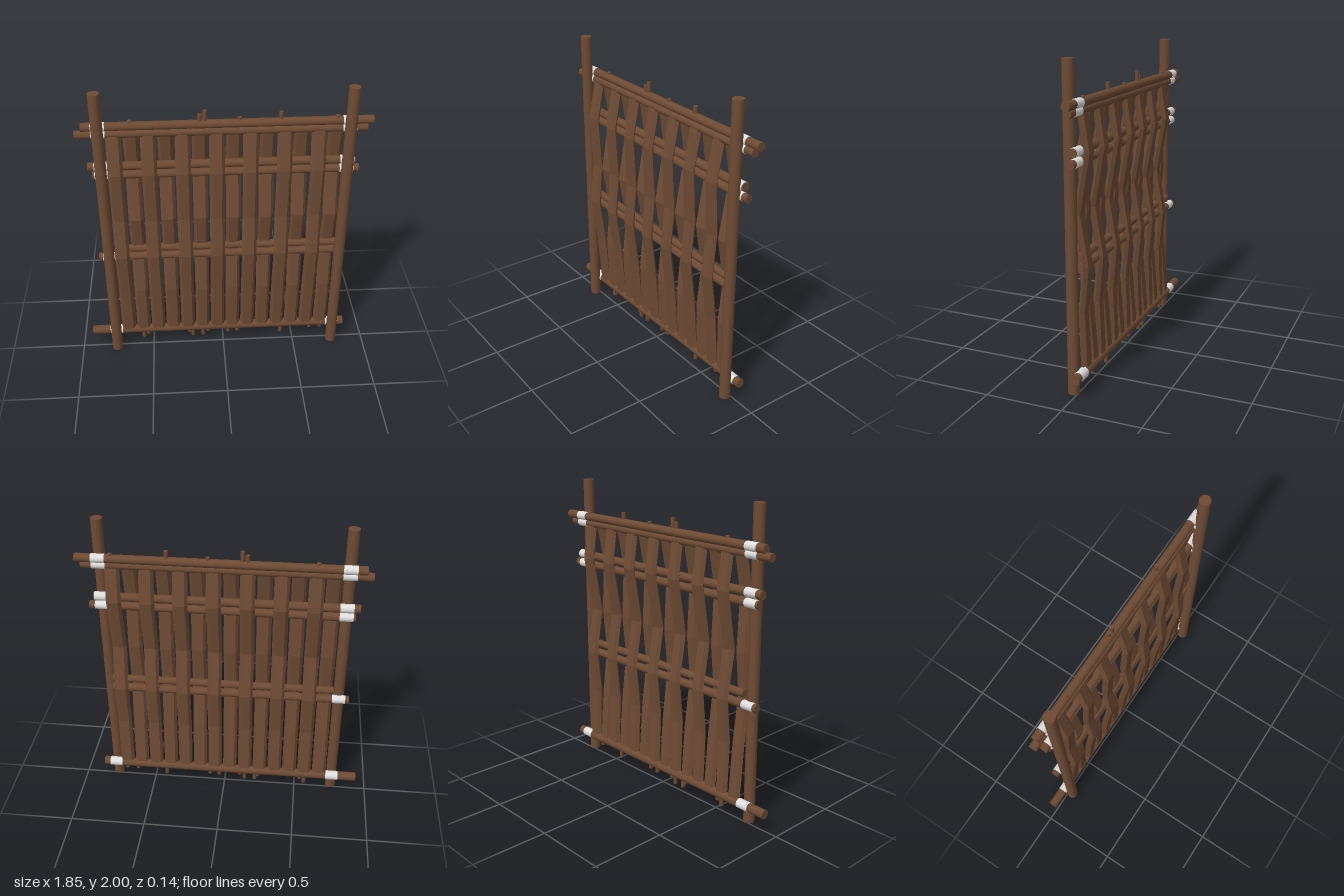
import * as THREE from 'three';

export function createModel() {
  const group = new THREE.Group();
  const wood = new THREE.MeshStandardMaterial({ color: 0x6e4b34 });
  wood.name = 'brown wood';
  const stakeWood = wood;
  const rope = new THREE.MeshStandardMaterial({ color: 0xe0e0e0 });
  rope.name = 'pale rope';

  function add(name, geometry, material, x = 0, y = 0, z = 0) {
    const mesh = new THREE.Mesh(geometry, material);
    mesh.name = name;
    mesh.position.set(x, y, z);
    group.add(mesh);
    return mesh;
  }

  // Horizontal pole from x0 to x1
  function bar(name, x0, x1, y, z, r, material) {
    const geometry = new THREE.CylinderGeometry(r, r, x1 - x0, 10);
    geometry.rotateZ(Math.PI / 2);
    add(name, geometry, material, (x0 + x1) / 2, y, z);
  }

  // Upright posts
  const postX = [-0.758, 0.775];
  for (const x of postX) add('post', new THREE.CylinderGeometry(0.036, 0.036, 2, 14), wood, x, 1, 0.028);

  // Rails: x start, x end, y, z, radius, posts they are tied to
  const rails = [
    [-0.86, 0.92, 1.755, -0.022, 0.028, postX],
    [-0.9, 0.885, 1.71, -0.014, 0.027, postX],
    [-0.84, 0.825, 1.485, -0.012, 0.028, postX],
    [-0.815, 0.855, 1.422, -0.012, 0.027, postX],
    [-0.72, 0.75, 0.855, -0.005, 0.026, []],
    [-0.825, 0.75, 0.788, -0.01, 0.028, [postX[0]]],
    [-0.925, 0.86, 0.128, -0.022, 0.031, postX],
  ];
  for (const [x0, x1, y, z, r, ties] of rails) {
    bar('rail', x0, x1, y, z, r, wood);
    for (const x of ties) bar('lashing', x - 0.043, x + 0.043, y, z, r + 0.0015, rope);
  }

  // Flattened six-sided stake swept along [y, z] points
  function stakeGeometry(path) {
    const ring = [[0.048, 0], [0.03, 0.021], [-0.03, 0.021], [-0.048, 0], [-0.03, -0.021], [0.03, -0.021]];
    const n = ring.length;
    const positions = [], index = [];
    for (const [y, z] of path) for (const [px, pz] of ring) positions.push(px, y, z + pz);
    for (let i = 0; i < path.length - 1; i++) {
      for (let j = 0; j < n; j++) {
        const a = i * n + j, b = i * n + (j + 1) % n;
        index.push(a, a + n, b, b, a + n, b + n);
      }
    }
    const top = (path.length - 1) * n;
    for (let j = 1; j < n - 1; j++) {
      index.push(0, j, j + 1);
      index.push(top, top + j + 1, top + j);
    }
    const indexed = new THREE.BufferGeometry();
    indexed.setAttribute('position', new THREE.Float32BufferAttribute(positions, 3));
    indexed.setIndex(index);
    const geometry = indexed.toNonIndexed();
    geometry.computeVertexNormals();
    return geometry;
  }

  // Woven stakes, passing alternately in front of and behind the rails
  const frontStake = stakeGeometry([[0.11, -0.02], [0.5, 0.01], [0.82, 0.05], [1.1, 0.022], [1.45, 0.04], [1.71, -0.012]]);
  const backStake = stakeGeometry([[0.11, -0.02], [0.5, -0.006], [0.79, -0.034], [1.1, 0.016], [1.47, -0.049], [1.71, -0.014]]);
  for (let i = 0; i < 14; i++) {
    add('stake', i % 2 ? backStake : frontStake, stakeWood, -0.668 + i * 0.1047);
  }

  // Thin stick ends above the top rails and below the bottom rail
  function stick(x, y0, y1) {
    add('stickEnd', new THREE.CylinderGeometry(0.014, 0.014, y1 - y0, 8), wood, x, (y0 + y1) / 2, -0.022);
  }
  for (const [x, y] of [[-0.565, 1.792], [-0.142, 1.82], [-0.112, 1.845], [0.1, 1.795], [0.353, 1.825], [0.7, 1.79]]) {
    stick(x, 1.7, y);
  }
  for (const [x, y] of [[-0.567, 0.05], [-0.535, 0.08], [-0.238, 0.08], [-0.216, 0.05], [-0.144, 0.05], [-0.11, 0.085],
    [0.035, 0.07], [0.1, 0.075], [0.413, 0.05], [0.622, 0.08], [0.7, 0.08]]) {
    stick(x, y, 0.14);
  }
  return group;
}
